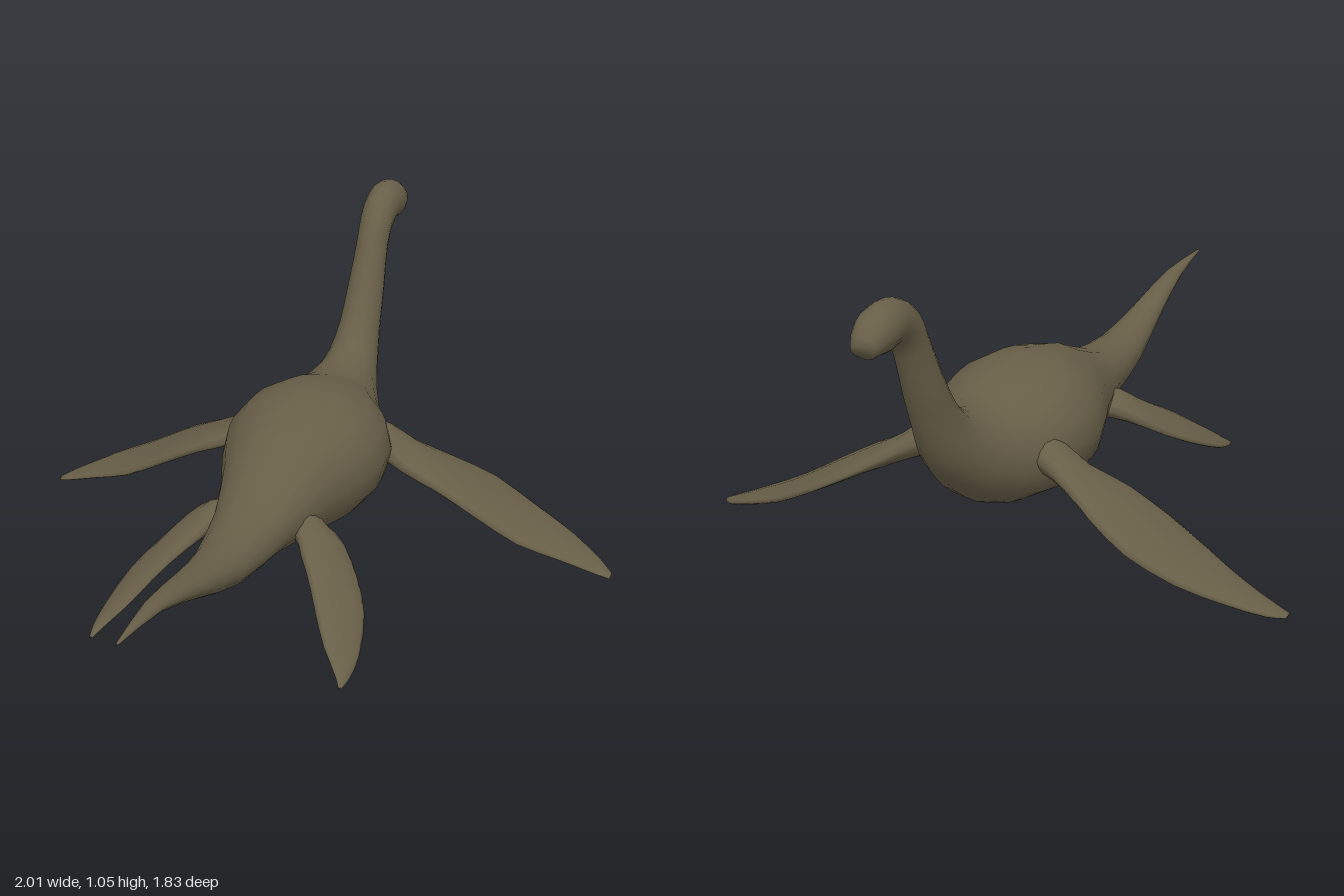
import * as THREE from 'three';

// Closed skin through elliptical sections { c: centre, a: half-width vector, b: half-height vector }
function loft(sections, sides, steps, sharp = 1) {
  const curves = ['c', 'a', 'b'].map(k => new THREE.CatmullRomCurve3(sections.map(s => s[k])));
  const rings = (sections.length - 1) * steps;
  const pos = [], idx = [];
  for (let i = 0; i <= rings; i++) {
    const [c, a, b] = curves.map(k => k.getPoint(i / rings));
    for (let j = 0; j < sides; j++) {
      const t = j / sides * Math.PI * 2, sn = Math.sin(t);
      const p = c.clone().addScaledVector(a, Math.cos(t))
        .addScaledVector(b, Math.sign(sn) * Math.abs(sn) ** sharp);
      pos.push(p.x, p.y, p.z);
    }
  }
  const quad = (a, b, c, d) => idx.push(a, b, c, a, c, d);
  for (let i = 0; i < rings; i++) {
    for (let j = 0; j < sides; j++) {
      const k = (j + 1) % sides, r = i * sides;
      quad(r + j, r + k, r + sides + k, r + sides + j);
    }
  }
  // End caps
  for (let j = 1; j < sides - 1; j++) {
    const e = rings * sides;
    idx.push(0, j + 1, j, e, e + j, e + j + 1);
  }
  // Turn the faces outward, whichever side the sections were mirrored to
  const v = i => new THREE.Vector3().fromArray(pos, i * 3);
  let volume = 0;
  for (let i = 0; i < idx.length; i += 3) volume += v(idx[i]).dot(v(idx[i + 1]).cross(v(idx[i + 2])));
  if (volume < 0) idx.reverse();
  const g = new THREE.BufferGeometry();
  g.setAttribute('position', new THREE.Float32BufferAttribute(pos, 3));
  g.setIndex(idx);
  g.computeVertexNormals();
  return g;
}

// Tail to snout: along, height, half-height, half-width
const SPINE = [
  [-1.5, 0.525, 0.004, 0.004], [-1.25, 0.505, 0.02, 0.03], [-1.0, 0.435, 0.042, 0.055],
  [-0.76, 0.37, 0.07, 0.085], [-0.5, 0.365, 0.098, 0.125], [-0.26, 0.382, 0.18, 0.19],
  [-0.13, 0.39, 0.21, 0.24], [0, 0.392, 0.227, 0.27], [0.12, 0.393, 0.215, 0.262],
  [0.23, 0.395, 0.192, 0.215], [0.33, 0.42, 0.155, 0.155], [0.43, 0.468, 0.122, 0.11],
  [0.51, 0.53, 0.098, 0.085], [0.57, 0.62, 0.078, 0.07], [0.635, 0.75, 0.066, 0.062],
  [0.69, 0.88, 0.06, 0.054], [0.735, 0.95, 0.064, 0.056], [0.8, 0.985, 0.069, 0.06],
  [0.875, 0.98, 0.07, 0.064], [0.925, 0.963, 0.052, 0.052], [0.955, 0.942, 0.03, 0.036],
];

// Flippers, root to tip: leading edge (along, out), trailing edge (along, out),
// height at each edge, half-thickness
const FRONT = [
  [0.26, 0.12, 0.14, 0.12, 0.40, 0.40, 0.06], [0.275, 0.2, 0.135, 0.21, 0.385, 0.375, 0.055],
  [0.31, 0.3, 0.12, 0.3, 0.335, 0.325, 0.04], [0.37, 0.41, 0.1, 0.43, 0.275, 0.275, 0.03],
  [0.418, 0.55, 0.1, 0.57, 0.205, 0.2, 0.026], [0.398, 0.7, 0.115, 0.7, 0.13, 0.125, 0.022],
  [0.35, 0.84, 0.16, 0.83, 0.075, 0.07, 0.017], [0.285, 0.95, 0.19, 0.95, 0.028, 0.025, 0.012],
  [0.24, 0.997, 0.2, 0.997, 0.011, 0.01, 0.006],
];
const REAR = [
  [-0.32, 0.1, -0.42, 0.07, 0.33, 0.35, 0.05], [-0.333, 0.184, -0.45, 0.13, 0.32, 0.34, 0.045],
  [-0.37, 0.268, -0.507, 0.168, 0.28, 0.305, 0.033], [-0.44, 0.33, -0.6, 0.232, 0.225, 0.25, 0.024],
  [-0.544, 0.389, -0.665, 0.272, 0.165, 0.205, 0.02], [-0.69, 0.42, -0.74, 0.325, 0.1, 0.145, 0.015],
  [-0.78, 0.418, -0.795, 0.38, 0.075, 0.09, 0.01], [-0.818, 0.41, -0.82, 0.398, 0.067, 0.07, 0.005],
];

function bodySections() {
  return SPINE.map(([u, y, h, w], i) => {
    const p = SPINE[Math.max(i - 1, 0)], n = SPINE[Math.min(i + 1, SPINE.length - 1)];
    const up = new THREE.Vector3(p[1] - n[1], n[0] - p[0], 0).setLength(h);
    return { c: new THREE.Vector3(u, y, 0), a: new THREE.Vector3(0, 0, w), b: up };
  });
}

function flipperSections(rows, side) {
  return rows.map(([lu, lv, tu, tv, ly, ty, h]) => {
    const lead = new THREE.Vector3(lu, ly, lv * side), trail = new THREE.Vector3(tu, ty, tv * side);
    return {
      c: lead.clone().add(trail).multiplyScalar(0.5),
      a: lead.clone().sub(trail).multiplyScalar(0.5),
      b: new THREE.Vector3(0, h, h * 0.4 * side),
    };
  });
}

export function createModel() {
  const skin = new THREE.MeshStandardMaterial({ color: 0x685f48 });
  skin.name = 'olive skin';
  const model = new THREE.Group();
  model.name = 'longNeckedSeaReptile';
  const add = (name, geometry) => {
    const mesh = new THREE.Mesh(geometry, skin);
    mesh.name = name;
    model.add(mesh);
  };

  // Tail, trunk, neck and head in one skin
  add('body', loft(bodySections(), 16, 2));

  // Two pairs of flippers with thin edges
  for (const [label, side] of [['Left', -1], ['Right', 1]]) {
    add('front' + label + 'Flipper', loft(flipperSections(FRONT, side), 12, 2, 1.3));
    add('rear' + label + 'Flipper', loft(flipperSections(REAR, side), 12, 2, 1.3));
  }

  // The animal swims diagonally across the frame
  model.rotation.y = 0.631;
  model.position.set(0.216, 0, 0.033);
  const root = new THREE.Group();
  root.name = 'model';
  root.add(model);
  return root;
}
